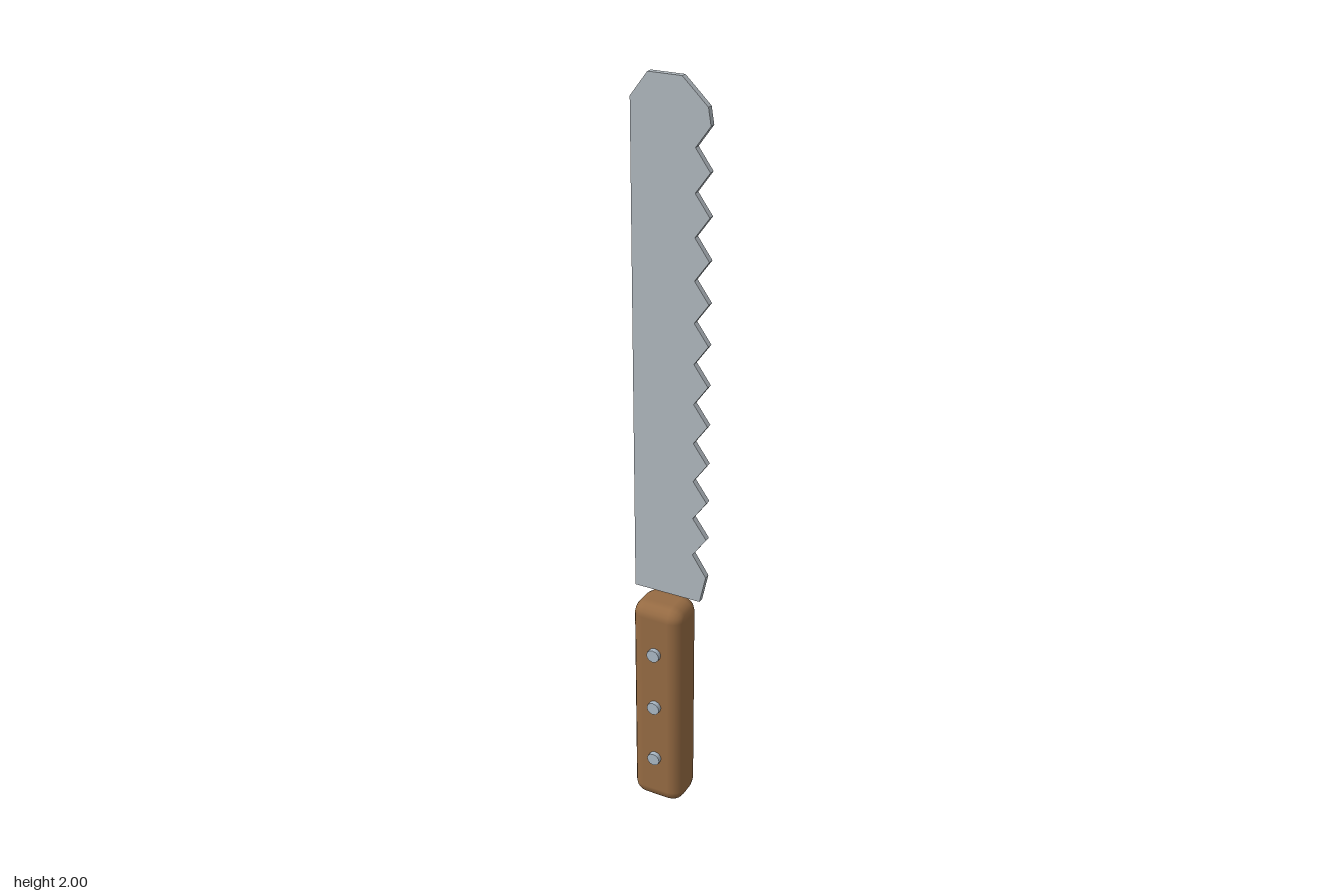
import * as THREE from 'three';
import { RoundedBoxGeometry } from 'three/addons/geometries/RoundedBoxGeometry.js';

const material = (name, color) => {
  const m = new THREE.MeshStandardMaterial({ color });
  m.name = name;
  return m;
};

export function createModel() {
  const steel = material('steel', 0xb0b8be);
  const wood = material('wood', 0x966b43);
  const rivetSteel = material('rivetSteel', 0xabb9c6);

  const group = new THREE.Group();
  group.name = 'breadKnife';
  const add = (name, geometry, mat, x, y, z) => {
    const mesh = new THREE.Mesh(geometry, mat);
    mesh.name = name;
    mesh.position.set(x, y, z);
    group.add(mesh);
    return mesh;
  };

  // Blade: straight spine on the right, serrated edge on the left
  const outline = new THREE.Shape();
  outline.moveTo(-0.102, 0.65);
  outline.lineTo(0.085, 0.65);
  outline.lineTo(0.102, 0.727);
  const teeth = 11, pitch = 0.1058;
  for (let i = 0; i < teeth; i++) {
    outline.lineTo(0.064, 0.785 + i * pitch);
    outline.lineTo(0.102, 0.838 + i * pitch);
  }
  // Clipped tip
  outline.lineTo(0.095, 1.938);
  outline.lineTo(0.03, 2);
  outline.lineTo(-0.057, 2);
  outline.lineTo(-0.102, 1.94);
  outline.closePath();
  const bladeGeometry = new THREE.ExtrudeGeometry(outline, { depth: 0.016, bevelEnabled: false });
  add('blade', bladeGeometry, steel, 0, 0, -0.016);

  // Rounded wooden handle
  add('handle', new RoundedBoxGeometry(0.145, 0.625, 0.115, 2, 0.037), wood, -0.0195, 0.3125, -0.0075);

  // Three rivets standing proud of the front face
  const rivetGeometry = new THREE.CylinderGeometry(0.018, 0.018, 0.03, 12).rotateX(Math.PI / 2);
  [0.147, 0.316, 0.485].forEach((y, i) => {
    add(`rivet${i + 1}`, rivetGeometry, rivetSteel, -0.0195, y, 0.048);
  });

  return group;
}
